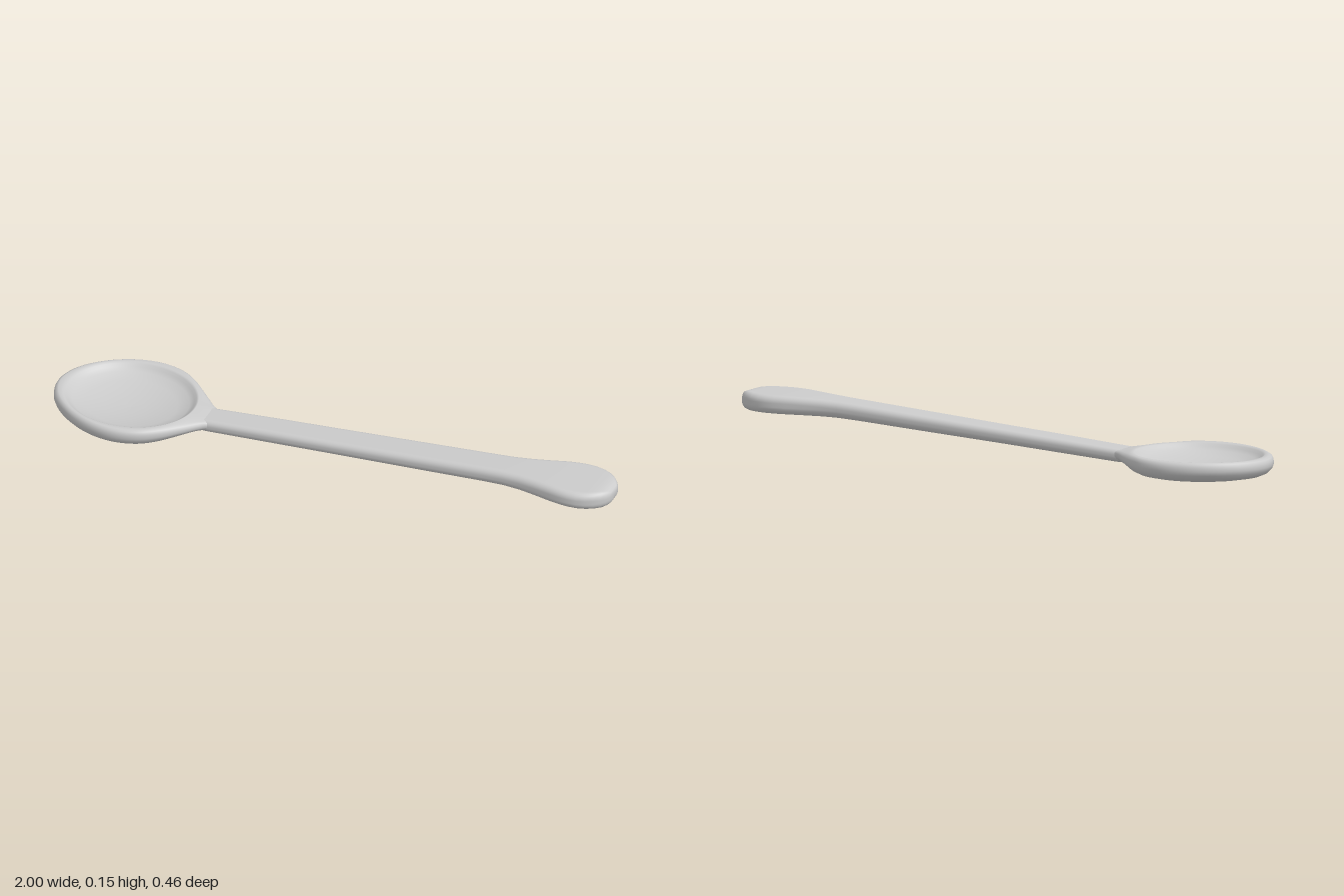
import * as THREE from 'three';

const material = new THREE.MeshStandardMaterial({ color: 0xcccccc });

// Skin a list of closed rings (arrays of Vector3) into one smooth mesh.
function loft(name, rings) {
  const n = rings[0].length;
  const index = [];
  for (let i = 0; i < rings.length - 1; i++) {
    for (let j = 0; j < n; j++) {
      const a = i * n + j, b = i * n + (j + 1) % n;
      index.push(a, b, a + n, b, b + n, a + n);
    }
  }
  const geometry = new THREE.BufferGeometry().setFromPoints(rings.flat());
  geometry.setIndex(index);
  geometry.computeVertexNormals();
  const mesh = new THREE.Mesh(geometry, material);
  mesh.name = name;
  return mesh;
}

// Bowl: rings run from the underside centre, over the rim, down into the hollow.
function createBowl() {
  const cx = -0.73;
  const half = [[-0.43, 0.04], [-0.46, 0.064], [-0.51, 0.115], [-0.57, 0.172], [-0.63, 0.21],
    [-0.71, 0.228], [-0.8, 0.216], [-0.89, 0.173], [-0.96, 0.108], [-0.99, 0.052]];
  const outline = [[-0.425, 0], ...half.map(([x, z]) => [x, -z]), [-1, 0], ...half.slice().reverse()];
  const curve = new THREE.CatmullRomCurve3(outline.map(([x, z]) => new THREE.Vector3(x, 0, z)), true);
  const edge = curve.getPoints(110).slice(0, -1);

  // [scale, height] of the outer shell and of the oval hollow
  const outer = [[0, 0.002], [0.25, 0.003], [0.45, 0.005], [0.7, 0.011], [0.85, 0.019], [0.93, 0.028],
    [0.98, 0.041], [1, 0.055], [0.995, 0.069], [0.975, 0.079], [0.94, 0.084]];
  const inner = [[1.02, 0.083], [0.985, 0.079], [0.95, 0.071], [0.88, 0.06], [0.7, 0.047], [0.4, 0.038],
    [0.2, 0.035], [0, 0.034]];

  const shell = outer.map(([s, h]) => edge.map((p) => {
    const x = cx + (p.x - cx) * s;
    const neck = THREE.MathUtils.smoothstep(x, -0.62, -0.43);
    return new THREE.Vector3(x, h + neck * 0.4 * (0.052 - h), p.z * s);
  }));
  const hollow = inner.map(([s, h]) => edge.map((p) => {
    const a = Math.atan2(p.z / 0.195, (p.x - cx) / 0.225);
    return new THREE.Vector3(cx - 0.005 + 0.225 * s * Math.cos(a), h, 0.195 * s * Math.sin(a));
  }));
  return loft('bowl', [...shell, ...hollow]);
}

// Rounded rectangle across the handle at x.
function section([x, w, bottom, top]) {
  const h = (top - bottom) / 2, y = (top + bottom) / 2;
  const r = Math.min(0.024, h * 0.85, w * 0.85);
  const points = [];
  for (let corner = 0; corner < 4; corner++) {
    const sz = corner < 2 ? 1 : -1;
    const sy = corner === 0 || corner === 3 ? 1 : -1;
    for (let k = 0; k <= 6; k++) {
      const a = (corner + k / 6) * Math.PI / 2;
      points.push(new THREE.Vector3(x, y + sy * (h - r) + r * Math.cos(a), sz * (w - r) + r * Math.sin(a)));
    }
  }
  return points;
}

// Handle: rising stem that flares into a rounded paddle end.
function createHandle() {
  const stations = [ // x, half width, bottom, top
    [-0.52, 0.05, 0.03, 0.07], [-0.44, 0.051, 0.031, 0.075], [-0.2, 0.054, 0.044, 0.091],
    [0, 0.056, 0.055, 0.103], [0.3, 0.059, 0.07, 0.122], [0.55, 0.061, 0.083, 0.138],
    [0.62, 0.063, 0.086, 0.142], [0.68, 0.07, 0.087, 0.145], [0.74, 0.082, 0.087, 0.147],
    [0.8, 0.096, 0.087, 0.149], [0.84, 0.103, 0.087, 0.149], [0.87, 0.105, 0.087, 0.149],
    [0.9, 0.103, 0.087, 0.149], [0.93, 0.095, 0.087, 0.149], [0.955, 0.082, 0.087, 0.149],
    [0.975, 0.067, 0.088, 0.147], [0.988, 0.052, 0.092, 0.143], [0.996, 0.038, 0.098, 0.137],
    [1, 0.024, 0.105, 0.13], [1, 0.0001, 0.1175, 0.1176],
  ];
  return loft('handle', stations.map(section));
}

export function createModel() {
  const spoon = new THREE.Group();
  spoon.name = 'spoon';
  spoon.add(createBowl(), createHandle());
  return spoon;
}
